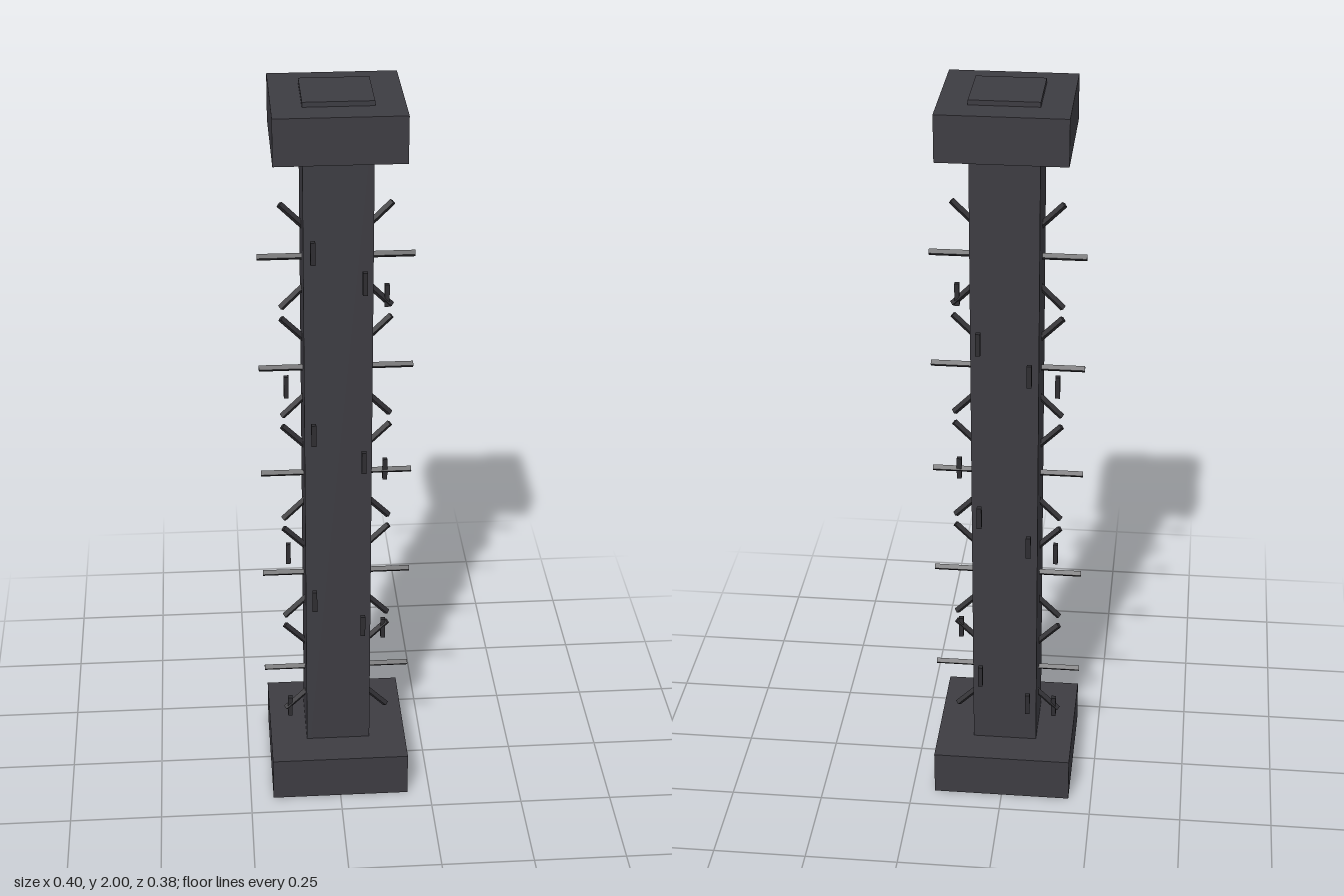
import * as THREE from 'three';

export function createModel() {
  const group = new THREE.Group();
  const stone = new THREE.MeshStandardMaterial({ color: 0x3d3c42 });
  stone.name = 'charcoal stone';
  const iron = new THREE.MeshStandardMaterial({ color: 0x2e2d31, flatShading: true });
  iron.name = 'dark iron';

  const add = (name, geometry, material, x, y, z) => {
    const mesh = new THREE.Mesh(geometry, material);
    mesh.name = name;
    mesh.position.set(x, y, z);
    group.add(mesh);
    return mesh;
  };

  // Square pillar with a plinth and a cap; the shaft pokes out of the top
  add('shaft', new THREE.BoxGeometry(0.175, 2, 0.175), stone, 0, 1, 0);
  add('plinth', new THREE.BoxGeometry(0.375, 0.125, 0.375), stone, 0, 0.0625, 0);
  add('cap', new THREE.BoxGeometry(0.325, 0.12, 0.325), stone, 0, 1.9275, 0);

  // Five stars of diamond-section rods running through the shaft
  const rod = new THREE.CylinderGeometry(0.009, 0.009, 0.4, 4);
  for (let i = 1; i <= 5; i++) {
    for (const turn of [1, 2, 3]) {
      add('spikeRod', rod, iron, 0, i * 0.3128, 0).rotation.z = (turn * Math.PI) / 4;
    }
  }

  // Small upright bars spiralling around the shaft, six to a turn
  const bar = new THREE.BoxGeometry(0.0125, 0.061, 0.0125);
  for (let i = 0; i < 18; i++) {
    const a = Math.PI - (i * Math.PI) / 3;
    add('spiralBar', bar, iron, 0.13 * Math.cos(a), 0.178 + i * 0.0848, -0.13 * Math.sin(a));
  }
  return group;
}
